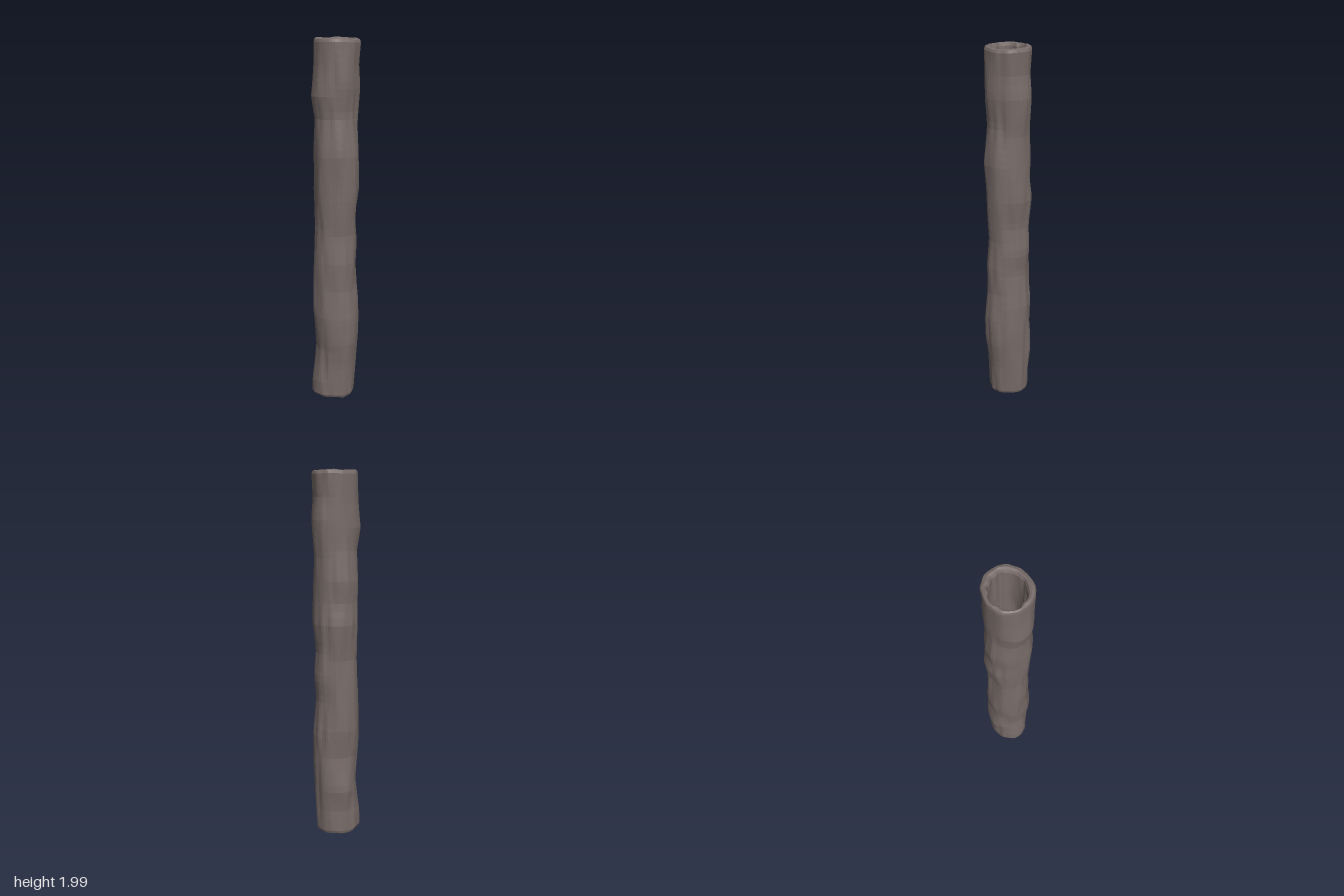
import * as THREE from 'three';

const SIDES = 56, ROWS = 50, TAU = Math.PI * 2;

// Repeatable hash and smooth noise that wraps around the trunk
const hash = (i, j, s) => {
  const v = Math.sin(i * 127.1 + j * 311.7 + s * 74.7) * 43758.5453;
  return (v - Math.floor(v)) * 2 - 1;
};
function noise(angle, y, around, perUnit, seed) {
  const u = (((angle / TAU) % 1) + 1) % 1 * around, v = y * perUnit;
  const i = Math.floor(u), j = Math.floor(v);
  const smooth = t => t * t * (3 - 2 * t);
  const a = smooth(u - i), b = smooth(v - j);
  const at = (p, q) => hash(p % around, q, seed);
  return THREE.MathUtils.lerp(
    THREE.MathUtils.lerp(at(i, j), at(i + 1, j), a),
    THREE.MathUtils.lerp(at(i, j + 1), at(i + 1, j + 1), a), b);
}

// Swelling of the trunk towards +z, +x, -z, -x, as [height, radius]
const SWELL = [
  [[0, .11], [.2, .115], [.35, .135], [.48, .137], [.65, .12], [.8, .124], [.95, .112], [1.15, .127], [1.4, .136], [1.6, .112], [1.75, .124], [2, .128]],
  [[0, .108], [.2, .122], [.4, .13], [.58, .131], [.78, .111], [.9, .124], [1.05, .111], [1.2, .125], [1.55, .11], [1.75, .128], [1.85, .118], [2, .13]],
  [[0, .112], [.15, .112], [.27, .13], [.45, .108], [.6, .121], [.8, .112], [1, .106], [1.2, .124], [1.3, .112], [1.42, .12], [1.6, .104], [2, .11]],
  [[0, .13], [.1, .131], [.3, .11], [.5, .125], [.8, .116], [1, .107], [1.4, .121], [1.58, .112], [1.7, .133], [1.85, .118], [2, .112]],
];
function sample(table, y) {
  let k = 0;
  while (k < table.length - 2 && y > table[k + 1][0]) k++;
  return THREE.MathUtils.mapLinear(y, table[k][0], table[k + 1][0], table[k][1], table[k + 1][1]);
}

// Outer bark: broad swells, with long narrow vertical ridges
function outerRadius(angle, y) {
  const q = (((angle / TAU) % 1) + 1) % 1 * 4, k = Math.floor(q) % 4;
  const t = q - Math.floor(q), w = t * t * (3 - 2 * t);
  const swell = THREE.MathUtils.lerp(sample(SWELL[k], y), sample(SWELL[(k + 1) % 4], y), w);
  return swell - 0.001 + noise(angle, y, 11, 3, 1) * 0.006 + noise(angle, y, 26, 5, 2) * 0.004;
}

// Hollow inside, rougher and narrower
function innerRadius(angle, y) {
  return 0.085 + noise(angle, y, 9, 3, 3) * 0.008 + noise(angle, y, 24, 5, 4) * 0.007;
}

export function createModel() {
  const group = new THREE.Group();

  // Closed profile: x holds the blend from inner (1) to outer (2) wall
  const profile = [];
  const add = (x, y) => profile.push(new THREE.Vector2(x, y));
  add(1.5, 0.008);
  add(1.8, 0.01);
  for (let i = 0; i <= ROWS; i++) add(2, 0.024 + 1.95 * i / ROWS);
  add(1.85, 1.988);
  add(1.5, 1.993);
  add(1.2, 1.989);
  for (let i = ROWS; i >= 0; i--) add(1, 0.024 + 1.95 * i / ROWS);
  add(1.2, 0.01);
  add(1.5, 0.008);

  // Push every ring of the lathe onto the bark and hollow surfaces
  const geometry = new THREE.LatheGeometry(profile, SIDES);
  const pos = geometry.attributes.position;
  for (let i = 0; i < pos.count; i++) {
    const x = pos.getX(i), y = pos.getY(i), z = pos.getZ(i);
    const blend = Math.hypot(x, z) - 1;
    const angle = Math.round(Math.atan2(x, z) / TAU * SIDES) / SIDES * TAU;
    const r = THREE.MathUtils.lerp(innerRadius(angle, y), outerRadius(angle, y), blend);
    // Uneven broken ends
    const end = Math.max(0, Math.abs(y - 1) - 0.9) / 0.1;
    const lift = noise(angle, 0.5, 14, 1, y > 1 ? 5 : 6) * 0.007 * end;
    pos.setXYZ(i, Math.sin(angle) * r, y + lift, Math.cos(angle) * r);
  }
  geometry.computeVertexNormals();

  const bark = new THREE.MeshStandardMaterial({ color: 0x776b68, flatShading: true });
  const trunk = new THREE.Mesh(geometry, bark);
  trunk.name = 'hollowTrunk';
  group.add(trunk);
  return group;
}
